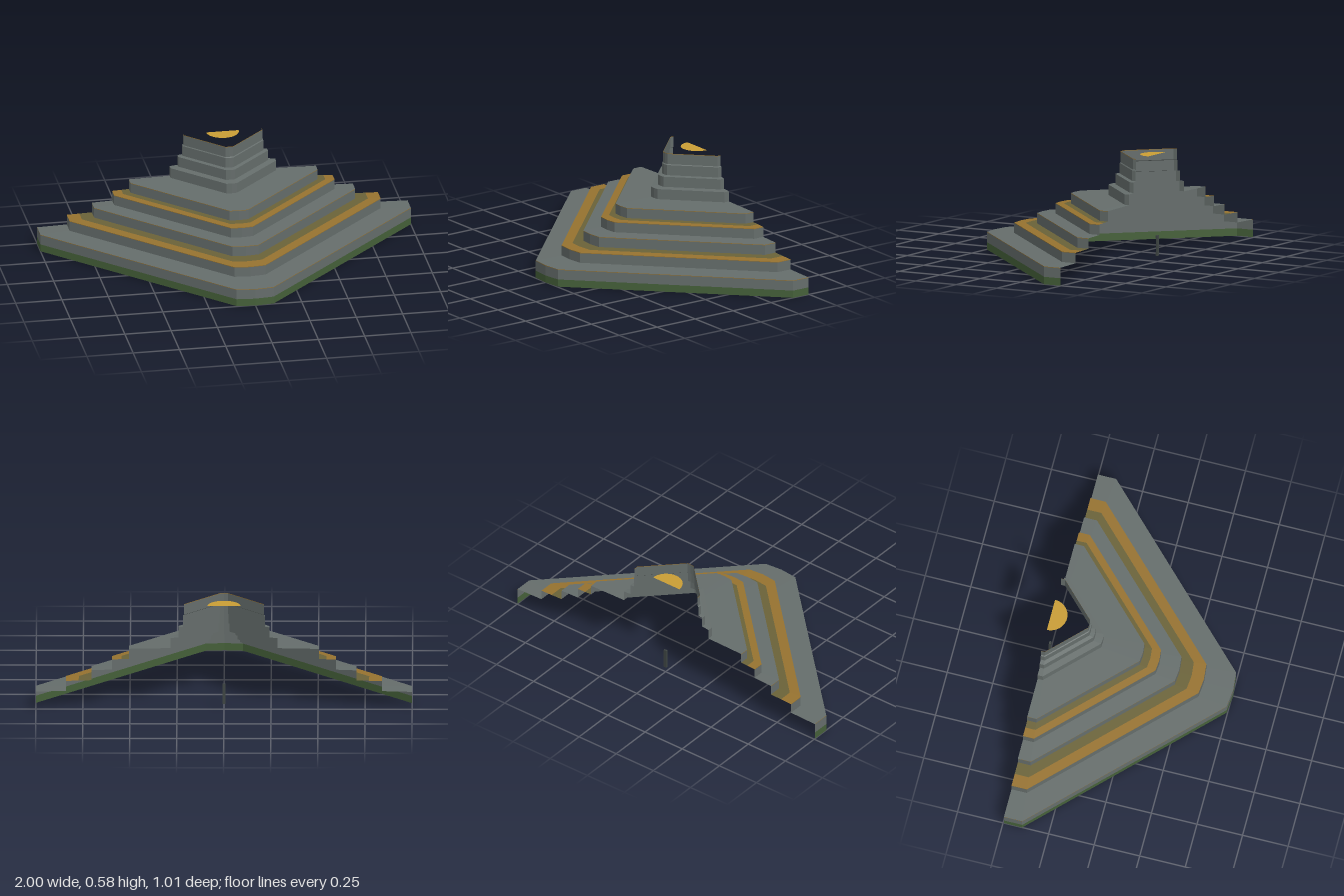
import * as THREE from 'three';

const BACK = -0.495; // open rear plane, also the centre the tiers scale about

const mat = (name, color, side = THREE.DoubleSide) => {
  const m = new THREE.MeshStandardMaterial({ color, side, flatShading: true });
  m.name = name;
  return m;
};

// Outline of one tier: half of a square set on its corner, with clipped corners
const OUTLINE = [[1, 0], [1, 0.1], [0.1, 0.99], [0, 1], [-0.1, 0.99], [-1, 0.1], [-1, 0]];

// Open strip between two scaled outlines: (w0, y0) below or outside, (w1, y1) above or inside
function band(w0, y0, w1, y1) {
  const pos = [];
  const at = (i, w, y) => [OUTLINE[i][0] * w, y, BACK + OUTLINE[i][1] * w];
  for (let i = 0; i < OUTLINE.length - 1; i++) {
    const a = at(i, w0, y0), b = at(i + 1, w0, y0);
    const c = at(i + 1, w1, y1), d = at(i, w1, y1);
    pos.push(...a, ...d, ...c, ...a, ...c, ...b);
  }
  const g = new THREE.BufferGeometry();
  g.setAttribute('position', new THREE.Float32BufferAttribute(pos, 3));
  g.computeVertexNormals();
  return g;
}

export function createModel() {
  const group = new THREE.Group();
  const stone = mat('stone', 0x656d6b);
  const moss = mat('moss', 0x456039);
  const ochre = mat('ochre', 0x96722f);
  const olive = mat('olive', 0x6a6238);
  const gold = mat('gold', 0xc99d35);
  const iron = mat('dark iron', 0x3f4644);

  const add = (name, geometry, material) => {
    const mesh = new THREE.Mesh(geometry, material);
    mesh.name = name;
    group.add(mesh);
    return mesh;
  };

  // Stepped shell: half width of every tier, and where painted treads change colour
  const widths = [1, 0.84, 0.705, 0.595, 0.505, 0.285, 0.242, 0.218, 0.212];
  const painted = { 1: 0.772, 3: 0.546 };
  const trimmed = [0, 1, 2, 3, 4, 8];

  widths.forEach((w, i) => {
    const n = i + 1;
    const bottom = i === 0 ? 0.04 : 0.04 + 0.06 * i;
    const top = i === 8 ? 0.579 : 0.036 + 0.06 * n;
    const trim = trimmed.includes(i) ? 0.003 : 0;

    // Riser with a fine ochre lip
    add(`riser${n}`, band(w, bottom, w, top - trim), stone);
    if (trim) add(`lip${n}`, band(w, top - trim, w, top), ochre);

    // Gently rising tread up to the next riser
    if (i === widths.length - 1) return;
    const next = widths[i + 1], end = 0.04 + 0.06 * n;
    if (painted[i]) {
      const m = painted[i], mid = (top + end) / 2;
      add(`treadOuter${n}`, band(w, top, m, mid), ochre);
      add(`treadInner${n}`, band(m, mid, next, end), olive);
    } else {
      add(`tread${n}`, band(w, top, next, end), stone);
    }
  });

  // Mossy foot of the lowest riser
  add('mossBand', band(1, 0, 1, 0.04), moss);

  // Half disc lying level inside the summit
  const disc = add('summitDisc', new THREE.CircleGeometry(0.088, 20, Math.PI, Math.PI), gold);
  disc.rotation.x = -Math.PI / 2;
  disc.position.set(0, 0.576, BACK);

  // Small upright handle at the rear, with a mount at each end
  const handle = new THREE.Group();
  handle.name = 'rearHandle';
  const bar = new THREE.Mesh(new THREE.BoxGeometry(0.018, 0.11, 0.008), iron);
  bar.name = 'handleBar';
  bar.position.set(0, 0.087, -0.501);
  handle.add(bar);
  for (const y of [0.04, 0.132]) {
    const mount = new THREE.Mesh(new THREE.BoxGeometry(0.014, 0.016, 0.006), iron);
    mount.name = 'handleMount';
    mount.position.set(0, y, -0.496);
    handle.add(mount);
  }
  group.add(handle);

  return group;
}
